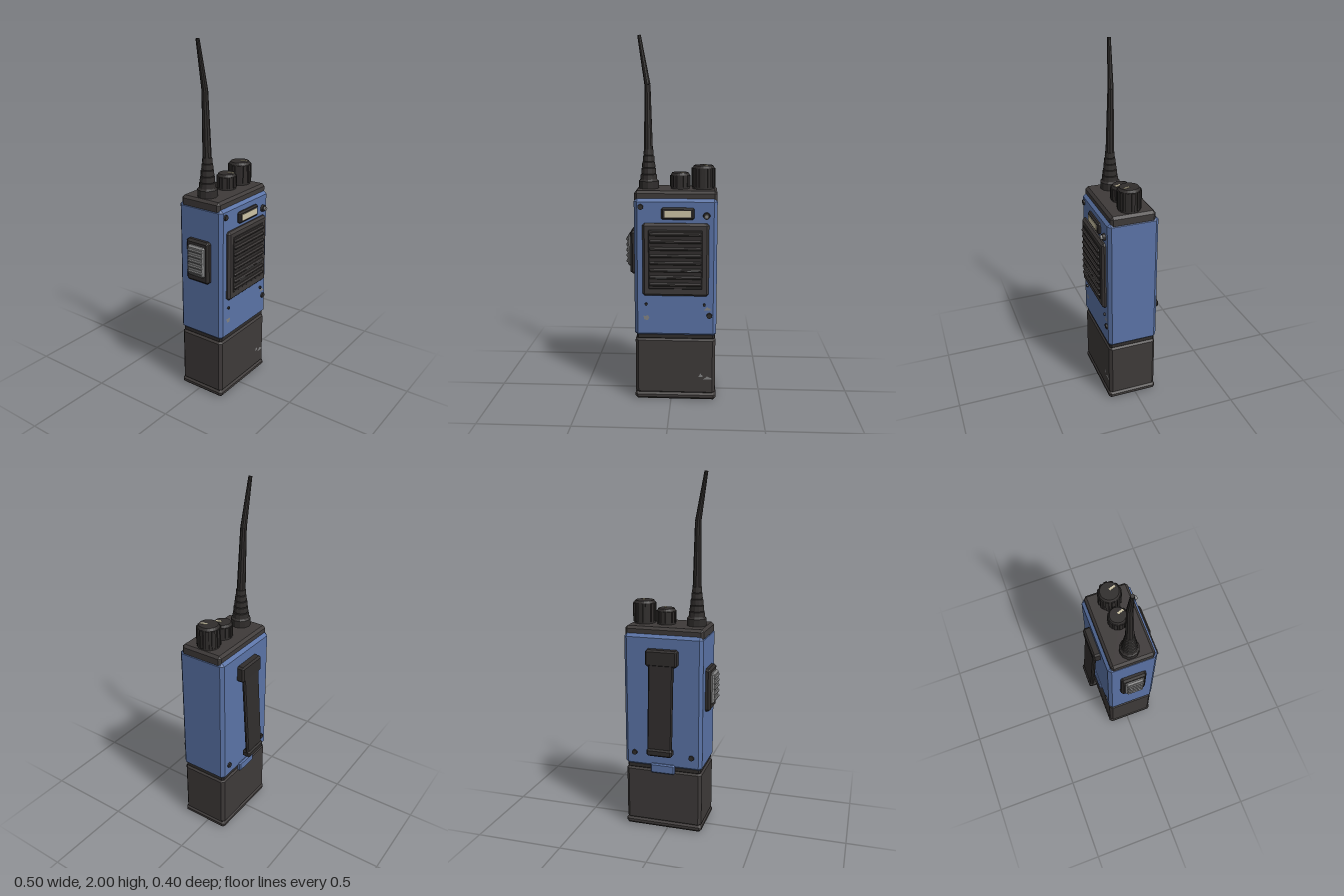
import * as THREE from 'three';
import { ConvexGeometry } from 'three/addons/geometries/ConvexGeometry.js';

const mat = (name, color) => {
  const m = new THREE.MeshStandardMaterial({ color });
  m.name = name;
  m.flatShading = true;
  return m;
};

export function createModel() {
  const blue = mat('blue shell', 0x5a73a6);
  const dark = mat('dark plastic', 0x3e3a39);
  const black = mat('black rubber', 0x302d2c);
  const grey = mat('worn grey', 0x838383);
  const cream = mat('cream', 0xcdc4a6);
  const root = new THREE.Group();
  root.name = 'handheldRadio';

  const add = (name, geo, material, x = 0, y = 0, z = 0, parent = root) => {
    const m = new THREE.Mesh(geo, material);
    m.name = name;
    m.position.set(x, y, z);
    parent.add(m);
    return m;
  };

  // Box with every edge chamfered by c, given by its limits
  const block = (name, material, [x0, x1], [y0, y1], [z0, z1], c, parent = root) => {
    const h = [(x1 - x0) / 2, (y1 - y0) / 2, (z1 - z0) / 2];
    const pts = [];
    for (const sx of [-1, 1]) for (const sy of [-1, 1]) for (const sz of [-1, 1])
      for (let k = 0; k < 3; k++) {
        const p = h.map((v, i) => (i === k ? v : v - c));
        pts.push(new THREE.Vector3(p[0] * sx, p[1] * sy, p[2] * sz));
      }
    return add(name, new ConvexGeometry(pts), material, (x0 + x1) / 2, (y0 + y1) / 2, (z0 + z1) / 2, parent);
  };

  // Tapered round bar between two points
  const rod = (name, material, a, b, ra, rb, sides = 10) => {
    const p = new THREE.Vector3(...a), q = new THREE.Vector3(...b);
    const d = q.clone().sub(p);
    const m = add(name, new THREE.CylinderGeometry(rb, ra, d.length(), sides), material);
    m.position.copy(p).add(q).multiplyScalar(0.5);
    m.quaternion.setFromUnitVectors(new THREE.Vector3(0, 1, 0), d.normalize());
    return m;
  };

  // Main case, battery and top cap
  block('body', blue, [-0.2, 0.25], [0.372, 1.142], [-0.123, 0.163], 0.018);
  block('batterySeam', black, [-0.19, 0.24], [0.35, 0.39], [-0.113, 0.153], 0.01);
  block('battery', dark, [-0.197, 0.246], [0.03, 0.362], [-0.119, 0.159], 0.016);
  block('batteryBase', dark, [-0.2, 0.25], [0, 0.043], [-0.123, 0.163], 0.014);
  block('topCap', dark, [-0.199, 0.248], [1.115, 1.18], [-0.106, 0.147], 0.014);

  // Antenna: stepped boot and bent whip
  const boot = [[0, 1.17], [0.055, 1.17], [0.055, 1.22], [0.048, 1.226]];
  for (let i = 0; i < 5; i++) {
    const r = 0.046 - i * 0.0045, y = 1.23 + i * 0.034;
    boot.push([r, y], [r - 0.002, y + 0.026], [r - 0.007, y + 0.028]);
  }
  boot.push([0, 1.4]);
  add('antennaBoot', new THREE.LatheGeometry(boot.map(p => new THREE.Vector2(...p)), 12), black, -0.129, 0, 0.02);
  const bend = [-0.134, 1.74, 0.011];
  rod('antennaWhip', black, [-0.129, 1.36, 0.02], bend, 0.025, 0.017);
  rod('antennaTip', black, bend, [-0.178, 1.998, 0.002], 0.017, 0.01);

  // Ribbed knobs with pointer marks
  const knob = (name, x, r, h) => {
    const g = new THREE.Group();
    g.name = name;
    g.position.set(x, 1.175, 0.02);
    root.add(g);
    const pts = [[0, 0], [r * 0.92, 0], [r * 0.92, h - 0.012], [r * 0.8, h], [0, h]];
    add('knobCore', new THREE.LatheGeometry(pts.map(p => new THREE.Vector2(...p)), 24), black, 0, 0, 0, g);
    for (let i = 0; i < 12; i++) {
      const a = (i / 12) * Math.PI * 2;
      const rib = add('knobRib', new THREE.BoxGeometry(0.012, h - 0.03, 0.018), black,
        Math.cos(a) * (r - 0.006), h / 2, Math.sin(a) * (r - 0.006), g);
      rib.rotation.y = -a;
    }
    const mark = add('knobPointer', new THREE.BoxGeometry(0.012, 0.004, 0.036), cream, 0.012, h + 0.001, 0.02, g);
    mark.rotation.y = 0.33;
  };
  knob('smallKnob', 0.045, 0.056, 0.092);
  knob('largeKnob', 0.172, 0.065, 0.132);

  // Speaker grille
  block('speakerPanel', dark, [-0.153, 0.206], [0.608, 1.01], [0.15, 0.184], 0.012);
  block('speakerRecess', black, [-0.12, 0.171], [0.65, 0.975], [0.17, 0.187], 0.003);
  for (let i = 0; i < 8; i++) {
    const y = 0.676 + i * 0.0395;
    block('grilleBar', dark, [-0.116, 0.167], [y - 0.009, y + 0.009], [0.18, 0.199], 0.006);
  }
  for (const [x, y, w] of [[0.02, 0.755, 0.07], [0.12, 0.755, 0.06], [-0.05, 0.715, 0.06]])
    add('grilleWear', new THREE.BoxGeometry(w, 0.005, 0.002), grey, x, y, 0.199);

  // Display window
  block('displayFrame', black, [-0.051, 0.127], [1.03, 1.094], [0.15, 0.18], 0.008);
  add('displayScreen', new THREE.BoxGeometry(0.142, 0.034, 0.006), cream, 0.038, 1.062, 0.18);

  // Indicator lamp and screws
  const disc = (name, material, x, y, z0, z1, r) => rod(name, material, [x, y, z0], [x, y, z1], r, r * 0.85, 12);
  disc('lampRing', black, 0.192, 1.05, 0.155, 0.178, 0.021);
  disc('lamp', grey, 0.192, 1.05, 0.17, 0.19, 0.013);
  for (const [x, y, r] of [[-0.163, 1.096, 0.017], [0.211, 0.495, 0.017], [-0.135, 0.557, 0.009], [0.183, 0.557, 0.009]])
    disc('frontScrew', black, x, y, 0.155, 0.172, r);
  for (const x of [-0.142, 0.192]) disc('backScrew', black, x, 0.452, -0.115, -0.132, 0.017);

  // Talk button on the right side
  block('talkButtonBase', black, [-0.228, -0.185], [0.708, 0.952], [-0.055, 0.095], 0.012);
  block('talkButton', grey, [-0.245, -0.215], [0.748, 0.925], [-0.036, 0.076], 0.01);
  for (let i = 0; i < 5; i++) {
    const y = 0.774 + i * 0.031;
    block('talkButtonRidge', grey, [-0.253, -0.235], [y - 0.008, y + 0.008], [-0.028, 0.068], 0.005);
  }

  // Belt clip
  block('clipMount', black, [-0.065, 0.114], [0.972, 1.066], [-0.163, -0.11], 0.01);
  const strap = block('clipStrap', black, [-0.045, 0.096], [0.478, 1.04], [-0.174, -0.152], 0.007);
  strap.rotation.x = 0.062;
  block('clipLip', black, [-0.048, 0.098], [0.468, 0.51], [-0.199, -0.148], 0.009);

  // Battery latch
  block('batteryLatch', blue, [-0.045, 0.095], [0.342, 0.398], [-0.136, -0.11], 0.007);

  // Scuffed paint chips
  const chip = (x, y, z, pts) => add('paintChip',
    new THREE.ShapeGeometry(new THREE.Shape(pts.map(p => new THREE.Vector2(...p)))), grey, x, y, z);
  const jag = s => [[-0.022, 0], [0.024, 0], [0.02, 0.01], [0.008, 0.012], [0, 0.02], [-0.01, 0.01]].map(p => [p[0] * s, p[1]]);
  chip(-0.134, 0.47, 0.1645, [[-0.012, 0], [0.008, -0.006], [0.016, 0.012], [0.008, 0.024], [-0.006, 0.018], [-0.018, 0.024]]);
  chip(0.2, 0.527, 0.1645, jag(0.8));
  chip(0.203, 0.122, 0.1605, jag(1.1));
  chip(0.165, 0.138, 0.1605, jag(0.5));

  return root;
}
